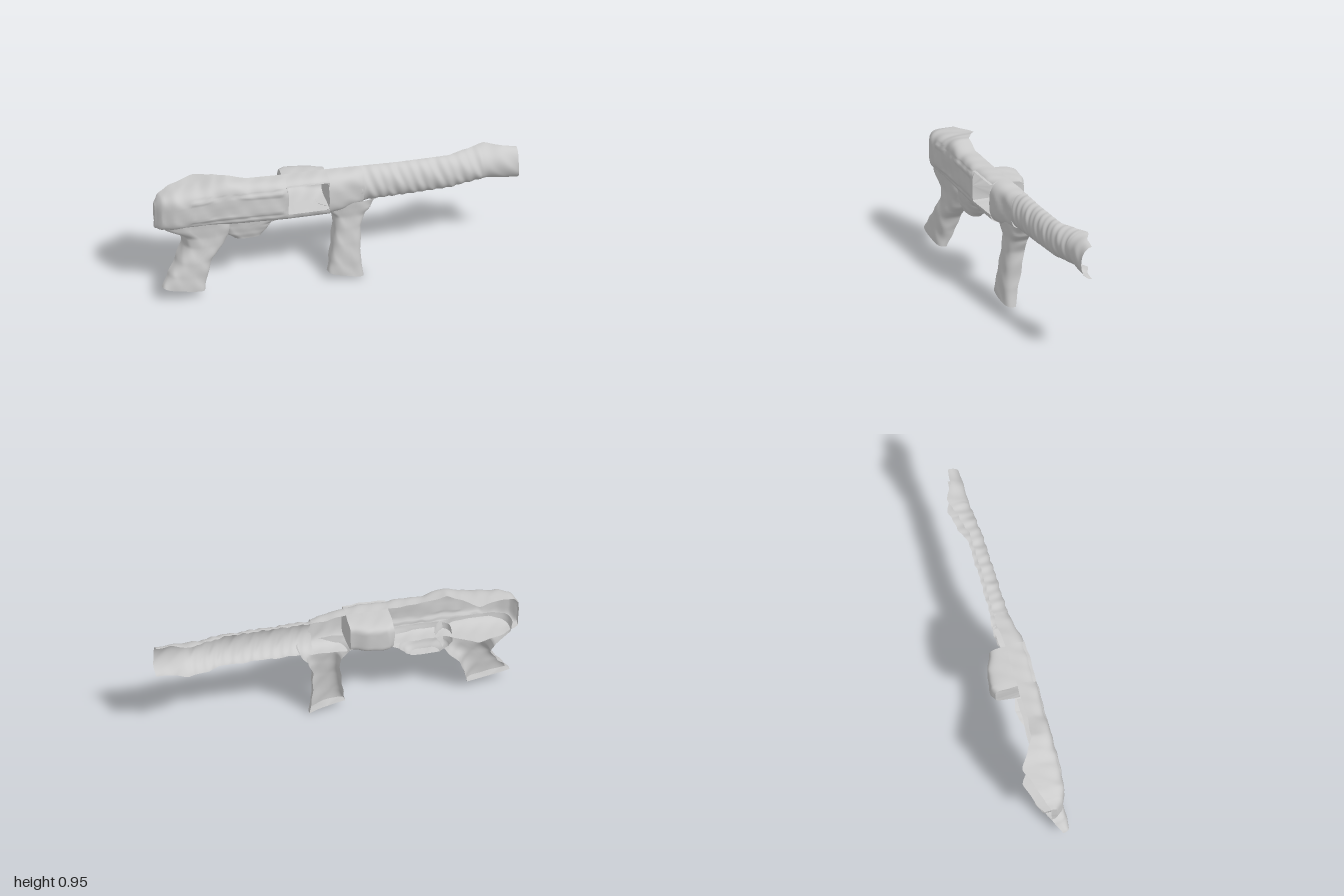
import * as THREE from 'three';

const material = new THREE.MeshStandardMaterial({ color: 0xcccccc, side: THREE.DoubleSide });

// Small repeatable unevenness for the worn, hand-moulded surface
const wobble = (x, y, z) =>
  0.003 * Math.sin(23 * x + 11 * y) * Math.cos(19 * y - 13 * z) + 0.002 * Math.sin(47 * x + 31 * z + 37 * y);

// Smooth value of column k in a list of stations at position s
function sample(stations, s, k) {
  let i = 0;
  while (i < stations.length - 2 && s > stations[i + 1][0]) i++;
  const a = stations[i], b = stations[i + 1];
  let t = (s - a[0]) / (b[0] - a[0]);
  t = 0.5 * t + 0.5 * t * t * (3 - 2 * t);
  return a[k] + (b[k] - a[k]) * t;
}

// Thin half shell, open at the back, lofted through C-shaped sections.
// Stations: [position, first min, first max, back, front].
// place(position, first, depth) returns the point; arc picks part of the C.
function shell(name, stations, place, steps, { power = 4, arc = [0, Math.PI], capStart = false, capEnd = false } = {}) {
  const around = 36, pos = [], index = [];
  const s0 = stations[0][0], s1 = stations[stations.length - 1][0];
  const round = (v) => Math.sign(v) * Math.pow(Math.abs(v), 2 / power);
  const ring = (s, scale = 1) => {
    const [a0, a1, b0, b1] = [1, 2, 3, 4].map((k) => sample(stations, s, k));
    for (let j = 0; j <= around; j++) {
      const t = arc[0] + (j / around) * (arc[1] - arc[0]);
      const a = (a0 + a1) / 2 + scale * ((a1 - a0) / 2) * round(Math.cos(t));
      const b = b0 + scale * (b1 - b0) * round(Math.max(0, Math.sin(t)));
      const p = place(s, a, b);
      const d = wobble(...p);
      pos.push(p[0] + d, p[1] + d * 0.7, p[2] + d);
    }
  };
  // Caps repeat the end ring so that the edge stays sharp
  if (capStart) [0, 0.5, 1].forEach((k) => ring(s0, k));
  for (let i = 0; i <= steps; i++) ring(s0 + ((s1 - s0) * i) / steps);
  if (capEnd) [1, 0.5, 0].forEach((k) => ring(s1, k));

  const row = around + 1, rows = pos.length / 3 / row;
  for (let i = 0; i < rows - 1; i++) {
    for (let j = 0; j < around; j++) {
      const a = i * row + j;
      index.push(a, a + 1, a + row, a + 1, a + row + 1, a + row);
    }
  }
  const g = new THREE.BufferGeometry();
  g.setAttribute('position', new THREE.Float32BufferAttribute(pos, 3));
  g.setIndex(index);
  g.computeVertexNormals();
  const m = new THREE.Mesh(g, material);
  m.name = name;
  return m;
}

const alongBody = (s, a, b) => [s, a, b];

// Upright shell whose lower end is cut on a slant
const upright = (slant, middle, height) => (s, a, b) =>
  [a, s + slant * (a - middle) * Math.max(0, 1 - s / height), b];

export function createModel() {
  const group = new THREE.Group();
  group.name = 'launcher';

  // Rear housing with rounded butt, top hump and lengthwise bands on its face
  const banded = (s, a, b) => {
    const inside = s > -1.1 && s < -0.42 && a > 0.64 && a < 0.86 && b > 0.05;
    return [s, a, b + (inside ? 0.006 * Math.sin(a * 85) : 0)];
  };
  group.add(shell('rearHousing', [
    [-1.36, 0.59, 0.80, -0.055, -0.01],
    [-1.32, 0.582, 0.86, -0.08, 0.045],
    [-1.22, 0.58, 0.895, -0.12, 0.085],
    [-1.03, 0.582, 0.915, -0.18, 0.1],
    [-0.92, 0.585, 0.94, -0.11, 0.1],
    [-0.82, 0.585, 0.955, -0.05, 0.105],
    [-0.66, 0.58, 0.915, -0.035, 0.105],
    [-0.38, 0.575, 0.905, -0.035, 0.12],
  ], banded, 60, { capStart: true }));

  // Rails above and below the window
  const rail = [[-0.385, 0.575, 0.905, -0.035, 0.12], [-0.07, 0.575, 0.905, -0.03, 0.122]];
  group.add(shell('windowTopRail', rail, alongBody, 14, { arc: [0, 0.845] }));
  group.add(shell('windowBottomRail', rail, alongBody, 14, { arc: [1.9, Math.PI] }));

  // Pocket behind the window, open to the front
  group.add(shell('windowPocket', [
    [-0.39, 0.648, 0.878, -0.115, 0.2],
    [-0.35, 0.645, 0.88, -0.115, 0.225],
    [-0.2, 0.645, 0.88, -0.117, 0.205],
    [-0.07, 0.648, 0.878, -0.117, 0.155],
  ], (s, a, b) => [s, a, -b], 16, { power: 6, capStart: true, capEnd: true }));

  // Collar between the window and the barrel
  group.add(shell('collar', [
    [-0.075, 0.575, 0.905, -0.03, 0.122],
    [0.0, 0.58, 0.9, -0.035, 0.115],
    [0.1, 0.595, 0.89, -0.045, 0.088],
    [0.2, 0.608, 0.885, -0.045, 0.072],
  ], alongBody, 14, { power: 3.2 }));

  // Ribbed barrel, bent towards the open muzzle
  const ribbed = (s, a, b) => {
    const rib = s < 1.1 ? 0.003 * Math.sin((s + 0.35 * (a - 0.75)) * 85) : 0;
    return [s, a + rib * (a > 0.75 ? 0.5 : -0.5), b + rib];
  };
  group.add(shell('barrel', [
    [0.18, 0.605, 0.886, -0.045, 0.074],
    [0.5, 0.612, 0.882, -0.035, 0.07],
    [0.85, 0.618, 0.882, -0.035, 0.064],
    [1.0, 0.622, 0.888, -0.08, 0.05],
    [1.14, 0.625, 0.898, -0.12, 0.037],
    [1.27, 0.625, 0.888, -0.06, 0.04],
    [1.37, 0.62, 0.872, -0.05, 0.038],
  ], ribbed, 150, { power: 2 }));

  // Front grip
  group.add(shell('frontGrip', [
    [0.04, -0.075, 0.2, 0.035, 0.11],
    [0.14, -0.055, 0.18, 0.01, 0.105],
    [0.3, -0.035, 0.18, -0.025, 0.09],
    [0.42, -0.02, 0.185, -0.04, 0.075],
    [0.52, -0.025, 0.22, -0.05, 0.065],
    [0.58, -0.08, 0.27, -0.045, 0.07],
    [0.65, -0.14, 0.3, -0.04, 0.075],
  ], upright(-0.28, 0.06, 0.3), 44, { power: 3.5, capStart: true }));

  // Rear grip, sweeping backwards, its back edge drawing in towards the trigger
  const slanted = upright(-0.27, -1.16, 0.3);
  const rearShape = (s, a, b) =>
    slanted(s, a, b < 0 ? b * THREE.MathUtils.clamp((-0.75 - a) / 0.3, 0.2, 1) : b);
  group.add(shell('rearGrip', [
    [0.09, -1.32, -1.0, 0.045, 0.11],
    [0.2, -1.265, -0.97, 0.0, 0.1],
    [0.3, -1.2, -0.93, -0.05, 0.09],
    [0.42, -1.14, -0.83, -0.1, 0.07],
    [0.5, -1.16, -0.78, -0.13, 0.065],
    [0.58, -1.3, -0.74, -0.1, 0.07],
    [0.65, -1.31, -0.74, -0.08, 0.075],
  ], rearShape, 44, { power: 3.3, capStart: true }));

  // Trigger housing and the sloping web ahead of it
  group.add(shell('triggerHousing', [
    [0.44, -0.77, -0.56, -0.03, 0.04],
    [0.49, -0.84, -0.51, -0.05, 0.055],
    [0.55, -0.86, -0.46, -0.07, 0.065],
    [0.59, -0.86, -0.34, -0.035, 0.07],
    [0.64, -0.86, -0.25, -0.03, 0.08],
  ], upright(0, 0, 1), 20, { power: 3, capStart: true }));

  // The whole body lies across the diagonal
  group.rotation.y = Math.PI / 4;
  const model = new THREE.Group();
  model.name = 'model';
  model.add(group);
  return model;
}
